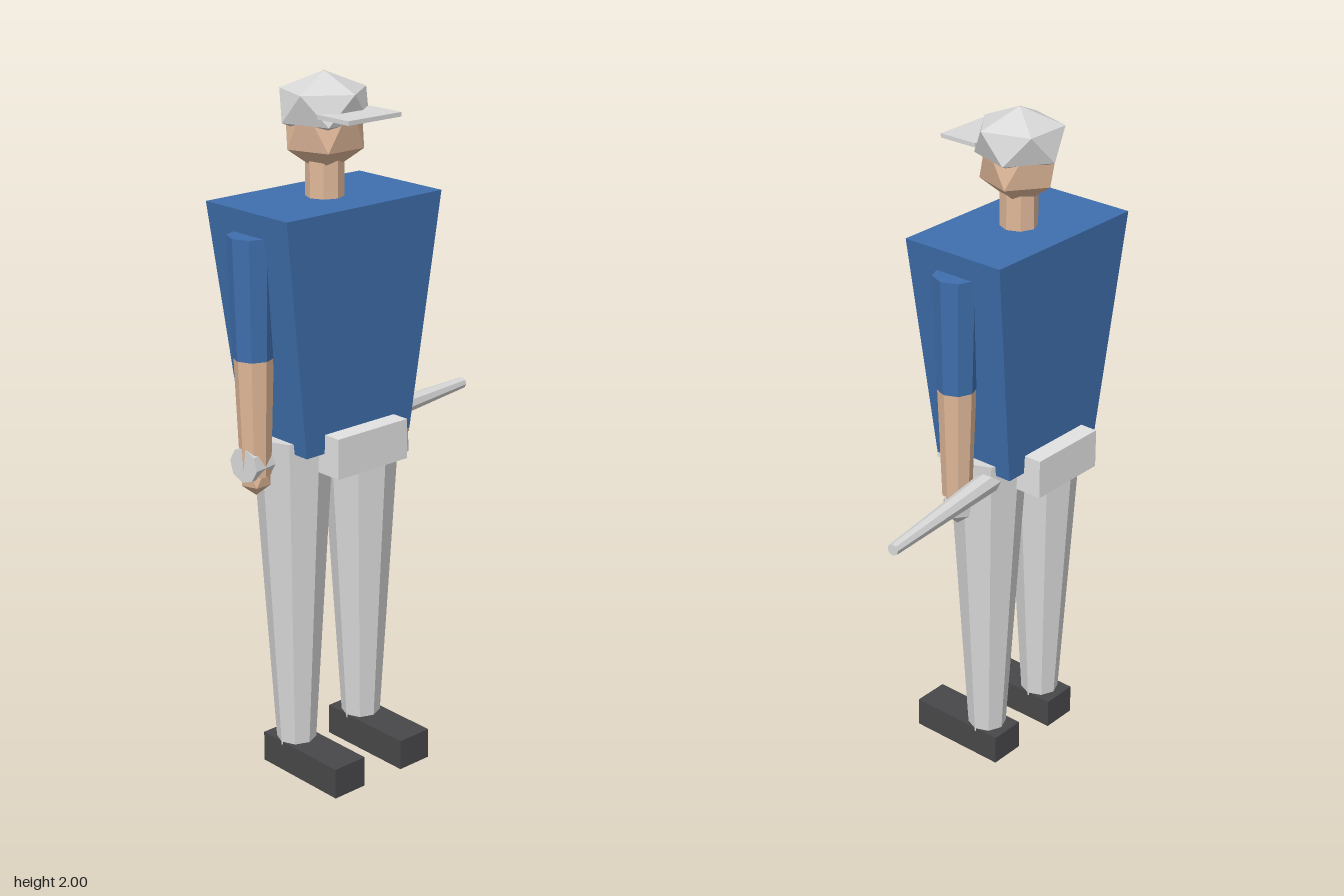
import * as THREE from 'three';

const flat = (name, color) => {
  const m = new THREE.MeshStandardMaterial({ color, flatShading: true });
  m.name = name;
  return m;
};

export function createModel() {
  const blue = flat('blue shirt', 0x3f6fad);
  const skin = flat('skin', 0xe0b899);
  const white = flat('off white cloth', 0xd8d8d8);
  const beltWhite = flat('belt white', 0xe2e2e2);
  const dark = flat('dark shoe', 0x48484a);

  const group = new THREE.Group();
  const CX = -0.02, CZ = 0.16; // body axis; the figure looks along +x

  const add = (name, geometry, material, x, y, z) => {
    const mesh = new THREE.Mesh(geometry, material);
    mesh.name = name;
    mesh.position.set(x, y, z);
    group.add(mesh);
    return mesh;
  };
  // box given by its limits
  const box = (name, material, x0, x1, y0, y1, z0, z1) =>
    add(name, new THREE.BoxGeometry(x1 - x0, y1 - y0, z1 - z0), material,
      (x0 + x1) / 2, (y0 + y1) / 2, (z0 + z1) / 2);
  // upright eight-sided limb
  const limb = (name, material, y0, y1, r0, r1, z) =>
    add(name, new THREE.CylinderGeometry(r1, r0, y1 - y0, 8), material, CX, (y0 + y1) / 2, z);
  // icosahedron standing on a corner, with an upper corner towards +x
  const gem = (name, material, rxz, ry, y, z) => {
    const g = new THREE.IcosahedronGeometry(1, 0);
    g.rotateX(-Math.atan((1 + Math.sqrt(5)) / 2));
    g.rotateY(Math.PI / 2);
    g.scale(rxz, ry, rxz);
    return add(name, g, material, CX, y, z);
  };

  // torso, a box narrowing to the waist
  const torso = new THREE.BoxGeometry(0.33, 0.67, 0.55);
  const p = torso.attributes.position;
  for (let i = 0; i < p.count; i++) {
    if (p.getY(i) < 0) {
      p.setX(i, p.getX(i) * 0.81);
      p.setZ(i, p.getZ(i) * 0.69);
    }
  }
  add('torso', torso, blue, CX, 1.325, CZ);

  // neck, head and cap
  limb('neck', skin, 1.64, 1.8, 0.053, 0.053, CZ);
  gem('head', skin, 0.12, 0.141, 1.856, CZ);
  gem('cap', white, 0.136, 0.091, 1.905, CZ);
  box('capBrim', white, 0.055, 0.177, 1.888, 1.9, 0.065, 0.252);

  // belt
  box('belt', beltWhite, -0.21, 0.17, 0.93, 1.045, 0.033, 0.286);

  // limbs on both sides
  for (const s of [1, -1]) {
    const armZ = CZ + s * 0.2575;
    limb('sleeve', blue, 1.26, 1.595, 0.056, 0.065, armZ);
    limb('forearm', skin, 0.93, 1.26, 0.042, 0.054, armZ);
    if (s > 0) gem('hand', skin, 0.046, 0.06, 0.928, armZ);
    else gem('glove', white, 0.048, 0.065, 0.902, armZ);

    const legZ = CZ + s * 0.125;
    limb('leg', white, 0.08, 1.02, 0.056, 0.113, legZ);
    box('shoe', dark, -0.1, 0.21, 0, 0.09, legZ - 0.055, legZ + 0.055);
  }

  // bat held across the body, thick end at +z
  const a = new THREE.Vector3(CX, 0.963, 0.46);
  const b = new THREE.Vector3(-0.132, 0.963, -0.483);
  const dir = a.clone().sub(b);
  const bat = add('bat', new THREE.CylinderGeometry(0.05, 0.017, dir.length(), 8), white, 0, 0, 0);
  bat.position.copy(a).add(b).multiplyScalar(0.5);
  bat.quaternion.setFromUnitVectors(new THREE.Vector3(0, 1, 0), dir.normalize());

  return group;
}
